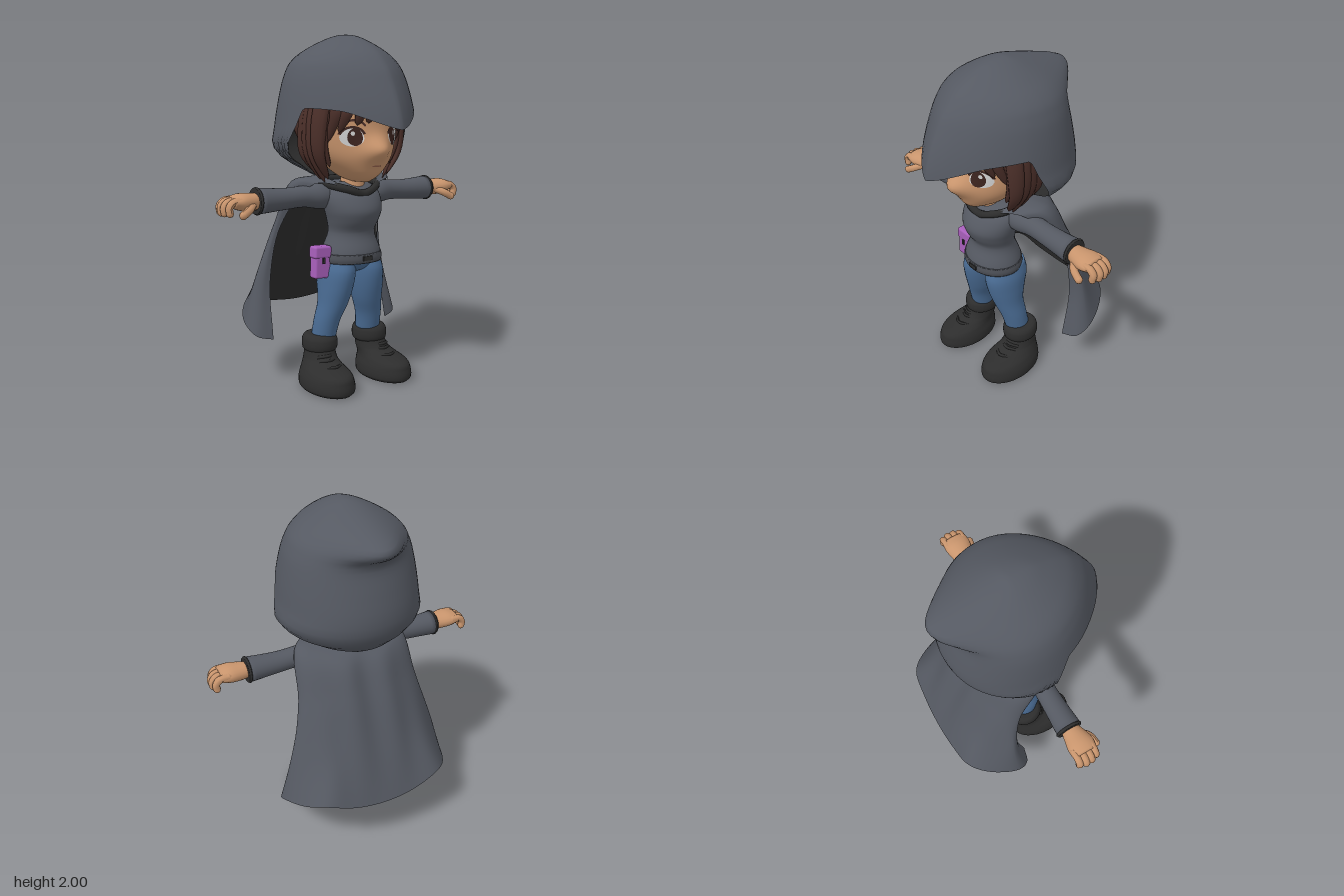
import * as THREE from 'three';
import { mergeGeometries } from 'three/addons/utils/BufferGeometryUtils.js';
import { RoundedBoxGeometry } from 'three/addons/geometries/RoundedBoxGeometry.js';

const mat = (name, color) => {
  const m = new THREE.MeshStandardMaterial({ color });
  m.name = name;
  return m;
};

// Smooth interpolation through rows of [key, value, value...]
function spline(rows) {
  const slope = (i, c) => {
    const a = rows[Math.max(i - 1, 0)], b = rows[Math.min(i + 1, rows.length - 1)];
    return (b[c] - a[c]) / (b[0] - a[0]);
  };
  return k => {
    let i = 0;
    while (i < rows.length - 2 && k > rows[i + 1][0]) i++;
    const a = rows[i], b = rows[i + 1], h = b[0] - a[0];
    const t = Math.min(Math.max((k - a[0]) / h, 0), 1), s = t * t * (3 - 2 * t);
    return a.slice(1).map((v, n) => v + (b[n + 1] - v) * s +
      h * (t * (1 - t) * (1 - t) * slope(i, n + 1) - t * t * (1 - t) * slope(i + 1, n + 1)));
  };
}

// Surface over a grid of points f(i, j); closed joins the last column to the first
function grid(nu, nv, f, closed) {
  const pos = [], uv = [], index = [], cols = closed ? nu : nu + 1;
  for (let j = 0; j <= nv; j++) for (let i = 0; i < cols; i++) { pos.push(...f(i, j)); uv.push(i / nu, j / nv); }
  for (let j = 0; j < nv; j++) for (let i = 0; i < nu; i++) {
    const a = j * cols + i, b = j * cols + (i + 1) % cols;
    index.push(a, b, b + cols, a, b + cols, a + cols);
  }
  const g = new THREE.BufferGeometry();
  g.setAttribute('position', new THREE.Float32BufferAttribute(pos, 3));
  g.setAttribute('uv', new THREE.Float32BufferAttribute(uv, 2));
  g.setIndex(index);
  g.computeVertexNormals();
  return g;
}

// Oval rings [y, centreX, halfWidth, frontZ, backZ], closed at both ends
function loft(rings, n = 28, sub = 5) {
  const at = spline(rings), steps = (rings.length - 1) * sub;
  return grid(n, steps + 2, (i, j) => {
    const s = Math.min(Math.max(j - 1, 0), steps), r = Math.min(Math.floor(s / sub), rings.length - 2);
    const y = rings[r][0] + (rings[r + 1][0] - rings[r][0]) * (s / sub - r);
    const [cx, w, f, b] = at(y), k = j === 0 || j === steps + 2 ? 0 : 1, a = i / n * Math.PI * 2;
    return [cx + k * w * Math.sin(a), y, (f + b) / 2 + k * (f - b) / 2 * Math.cos(a)];
  }, true);
}

function flip(g) {
  const ix = g.index.array;
  for (let i = 0; i < ix.length; i += 3) [ix[i], ix[i + 1]] = [ix[i + 1], ix[i]];
  g.computeVertexNormals();
  return g;
}
const mirror = g => flip(g.clone().scale(-1, 1, 1));

// Inner copy of a cloth surface, set back along its normals
function liningOf(g, depth) {
  const c = g.clone(), p = c.attributes.position, n = c.attributes.normal;
  for (let i = 0; i < p.count; i++)
    p.setXYZ(i, p.getX(i) - depth * n.getX(i), p.getY(i) - depth * n.getY(i), p.getZ(i) - depth * n.getZ(i));
  return flip(c);
}

const curve = (pts, closed = false) => new THREE.CatmullRomCurve3(pts.map(p => new THREE.Vector3(...p)), closed);
const tube = (pts, r, closed = false) => new THREE.TubeGeometry(curve(pts, closed), closed ? 64 : 12, r, 8, closed);
const finger = (pts, r) => mergeGeometries([tube(pts, r),
  ...[pts[0], pts[pts.length - 1]].map(p => new THREE.SphereGeometry(r, 8, 6).translate(...p))]);

// Flat tapering lock of hair lying around the head
function strand(pts, w, t) {
  const c = curve(pts);
  return grid(10, 12, (i, j) => {
    const p = c.getPoint(j / 12), a = i / 10 * Math.PI * 2, f = Math.atan2(p.x, p.z);
    const k = Math.sqrt(1 - (j / 12) ** 2), o = k * t * Math.cos(a), s = -k * w * Math.sin(a);
    return [p.x + o * Math.sin(f) + s * Math.cos(f), p.y, p.z + o * Math.cos(f) - s * Math.sin(f)];
  }, true);
}

export function createModel() {
  const root = new THREE.Group();
  root.name = 'cloakedFigure';
  const cloth = mat('greyCloth', 0x555962), dark = mat('blackLeather', 0x2d2d2d), skin = mat('skin', 0xc9956d),
    hair = mat('brownHair', 0x4b2f29), denim = mat('blueDenim', 0x4a6c94), purple = mat('purple', 0xa85fbb),
    white = mat('eyeWhite', 0xd2d2d2), iris = mat('darkBrown', 0x3c241f), lip = mat('lip', 0x9c6650), band = mat('hemGrey', 0x4c4f56);
  const add = (name, g, m) => {
    const mesh = new THREE.Mesh(g, m);
    mesh.name = name;
    root.add(mesh);
  };
  const pair = (name, g, m) => { add(name + 'Left', g, m); add(name + 'Right', mirror(g), m); };

  // Hood: rows of [y, half width, front, back, peak at the back]
  const hoodAt = spline([[2, 0, 0, 0, 0], [1.99, .06, .1, .06, 0], [1.96, .13, .185, .16, .02], [1.92, .2, .265, .25, .07],
    [1.88, .26, .325, .29, .14], [1.83, .31, .375, .32, .11], [1.79, .33, .408, .335, .03], [1.74, .35, .437, .345, 0],
    [1.6, .38, .502, .375, 0], [1.48, .397, .535, .397, 0], [1.38, .41, .535, .39, 0], [1.3, .338, .535, .345, 0],
    [1.24, .22, .535, .28, 0], [1.15, .05, .535, .13, 0]].map(([y, ...v]) => [Math.sqrt(2 - y), ...v]));
  // Lower edge of the hood, from its back (-1) to the brim tip (1)
  const edgeAt = spline([[-1, 1.155], [-.3, 1.17], [-.12, 1.2], [-.03, 1.27], [.06, 1.35], [.2, 1.5], [.27, 1.58], [.34, 1.59],
    [.66, 1.575], [.8, 1.545], [1, 1.48]]);
  const half = [1, .99, .97, .94, .9, .82, .74, .66, .58, .5, .42, .34, .3, .27, .24, .2, .15, .1, .05, 0];
  for (let i = 1; i <= 16; i++) half.push(-i / 16);
  const around = [...half.map(t => [t, -1]), ...half.slice(1, -1).reverse().map(t => [t, 1])];
  const hood = grid(around.length, 32, (i, j) => {
    const [t, side] = around[i], s = Math.sqrt(2 - edgeAt(t)[0]) * j / 32;
    const [w, f, b, peak] = hoodAt(s), a = -t * Math.PI / 2;
    return t >= 0 ? [side * w * (1 - t * t) ** (.56 + .34 * s), 2 - s * s, f * t]
      : [side * w * Math.cos(a), 2 - s * s, -b * Math.sin(a) - peak * Math.sin(a) ** 5];
  }, true);
  add('hood', hood, cloth);
  add('hoodLining', liningOf(hood, .004), dark);

  // Cape: half rows from the centre of the back to the front edge
  const capeRows = [
    [[0, 1.19, -.15], [.07, 1.19, -.14], [.12, 1.2, -.1], [.16, 1.21, -.05], [.18, 1.215, 0], [.17, 1.205, .08], [.12, 1.165, .165]],
    [[0, 1.12, -.22], [.1, 1.13, -.22], [.2, 1.15, -.18], [.27, 1.17, -.12], [.31, 1.185, -.06], [.32, 1.185, 0], [.26, 1.175, .09]],
    [[0, .97, -.3], [.12, .97, -.3], [.22, .96, -.28], [.3, .95, -.23], [.355, .94, -.18], [.37, .93, -.14], [.35, .93, -.12]],
    [[0, .66, -.425], [.16, .66, -.42], [.28, .66, -.39], [.38, .65, -.32], [.45, .64, -.23], [.435, .61, -.19], [.395, .6, -.175]],
    [[0, .36, -.54], [.2, .38, -.53], [.36, .425, -.5], [.46, .39, -.4], [.53, .34, -.23], [.5, .285, -.15], [.41, .26, -.12]]];
  const rowCurves = capeRows.map(r => curve([...r.slice(1).reverse().map(([x, y, z]) => [-x, y, z]), ...r]));
  const columns = Array.from({ length: 61 }, (_, i) => new THREE.CatmullRomCurve3(rowCurves.map(c => c.getPoint(i / 60))));
  const cape = grid(60, 28, (i, j) => {
    const p = columns[i].getPoint(j / 28), fold = Math.sin(Math.PI * j / 28) * Math.sin(Math.PI * i / 60);
    return [p.x, p.y, p.z + .01 * fold * Math.cos(p.x * 28)];
  });
  add('cape', cape, cloth);
  add('capeLining', liningOf(cape, .01), dark);
  add('collar', tube([[0, 1.115, .19], [.08, 1.14, .185], [.155, 1.165, .1], [.12, 1.18, -.06], [0, 1.18, -.1],
    [-.12, 1.18, -.06], [-.155, 1.165, .1], [-.08, 1.14, .185]], .022, true), dark);

  // Sweater, hem and belt tag
  add('sweater', loft([[.73, 0, .185, .235, -.08], [.79, 0, .175, .23, -.075], [.89, 0, .142, .2, -.04], [.96, 0, .155, .235, -.045],
    [1.02, 0, .172, .25, -.055], [1.09, 0, .182, .22, -.07], [1.14, 0, .165, .175, -.07], [1.18, 0, .1, .13, -.04]], 36), cloth);
  add('sweaterHem', loft([[.722, 0, .184, .235, -.08], [.745, 0, .188, .24, -.084], [.775, 0, .182, .236, -.081]], 36), band);
  add('beltTag', new THREE.BoxGeometry(.06, .025, .008).translate(0, .752, .239), dark);
  pair('sleeve', loft([[.1, -1.09, .065, .1, -.04], [.2, -1.1, .072, .115, -.045], [.3, -1.105, .06, .1, -.025],
    [.42, -1.1, .06, .1, -.025], [.595, -1.1, .072, .112, -.036]]).rotateZ(-Math.PI / 2), cloth);
  pair('sleeveCuff', loft([[.585, -1.1, .07, .11, -.034], [.593, -1.1, .076, .116, -.04], [.604, -1.1, .07, .11, -.034]])
    .rotateZ(-Math.PI / 2), dark);

  // Hands: palm, four curled fingers and a thumb
  pair('palm', loft([[.58, -1.1, .042, .085, -.005], [.64, -1.1, .048, .11, -.018], [.7, -1.105, .046, .125, -.03],
    [.755, -1.108, .03, .118, -.027]], 20).rotateZ(-Math.PI / 2), skin);
  const fingers = [-.008, .027, .062, .097].map((z, i) => {
    const r = [0, .01, .008, -.005][i];
    return finger([[.715, 1.115, z], [.765 + r, 1.11, z], [.788 + r, 1.085, z], [.785 + r, 1.055, z]], .021);
  });
  pair('fingers', mergeGeometries(fingers), skin);
  pair('thumb', finger([[.64, 1.09, .085], [.68, 1.07, .125], [.725, 1.045, .138]], .022), skin);

  // Jeans
  pair('jeanLeg', loft([[.27, .16, .07, .1, -.05], [.38, .148, .075, .13, -.035], [.48, .122, .085, .165, -.03],
    [.58, .107, .095, .195, -.055], [.67, .098, .098, .208, -.08], [.74, .088, .088, .19, -.07]]), denim);
  add('jeanHips', loft([[.645, 0, .04, .09, .03], [.68, 0, .14, .17, -.05], [.74, 0, .178, .215, -.075]]), denim);

  // Boots with folded cuffs and laces
  pair('boot', loft([[0, .205, .12, .315, -.075], [.02, .205, .135, .335, -.085], [.07, .205, .132, .332, -.085],
    [.11, .203, .115, .31, -.08], [.135, .197, .1, .225, -.08], [.165, .188, .09, .15, -.08], [.24, .18, .082, .11, -.08]], 32), dark);
  pair('bootCuff', loft([[.195, .18, .078, .1, -.07], [.215, .18, .098, .125, -.09], [.265, .18, .1, .127, -.092],
    [.29, .18, .088, .112, -.08], [.298, .18, .07, .095, -.065]], 28, 4), dark);
  pair('laces', mergeGeometries([[.14, .205], [.165, .148], [.185, .13]].map(([y, z]) =>
    tube([[.14, y - .005, z - .03], [.195, y + .004, z + .002], [.25, y - .005, z - .03]], .009))), dark);

  // Head with a softly pointed nose and narrow jaw
  const headRings = [[1.185, 0, .04, .235, .06], [1.21, 0, .09, .272, 0], [1.25, 0, .145, .298, -.05], [1.32, 0, .212, .312, -.1],
    [1.4, 0, .252, .312, -.15], [1.5, 0, .268, .312, -.18], [1.6, 0, .26, .3, -.2], [1.72, 0, .2, .2, -.16], [1.78, 0, .1, .1, -.06]];
  const headAt = spline(headRings);
  const nose = (x, y) => .075 * Math.exp(-((x / .085) ** 2) - ((y - 1.365) / .065) ** 2);
  const faceZ = (x, y) => {
    const [, w, f, b] = headAt(y);
    return (f + b) / 2 + (f - b) / 2 * Math.sqrt(Math.max(0, 1 - (x / w) ** 2)) + nose(x, y);
  };
  const head = loft(headRings, 72, 6), hp = head.attributes.position;
  for (let i = 0; i < hp.count; i++) if (hp.getZ(i) > .15) hp.setZ(i, hp.getZ(i) + nose(hp.getX(i), hp.getY(i)));
  head.computeVertexNormals();
  add('head', head, skin);
  add('neck', new THREE.CylinderGeometry(.065, .075, .14, 20).translate(0, 1.17, .09), skin);

  // Eyes and mouth as thin plates that follow the face
  const plate = (g, cx, cy, rx, ry, lift) => {
    const p = g.attributes.position;
    for (let i = 0; i < p.count; i++) {
      const x = cx + p.getX(i) * rx, y = cy + p.getY(i) * ry;
      p.setXYZ(i, x, y, faceZ(x, y) + lift);
    }
    g.computeVertexNormals();
    return g;
  };
  const disc = () => new THREE.RingGeometry(.001, 1, 28, 4);
  pair('eyeWhite', plate(disc(), .138, 1.438, .056, .05, .003), white);
  pair('iris', plate(disc(), .126, 1.438, .036, .047, .005), iris);
  pair('eyeGlint', plate(disc(), .138, 1.457, .01, .012, .007), white);
  pair('upperLash', plate(new THREE.RingGeometry(.92, 1.16, 24, 2, .25, 2.6), .138, 1.438, .058, .051, .007), iris);
  pair('eyebrow', plate(new THREE.RingGeometry(.9, 1.05, 20, 2, .7, 1.8), .13, 1.45, .075, .08, .005), hair);
  add('mouth', plate(disc(), 0, 1.278, .03, .005, .004), lip);

  // Hair: cap, fringe, cheek locks and side locks
  add('hairCap', new THREE.SphereGeometry(1, 32, 20).scale(.29, .25, .28).translate(0, 1.53, -.01), hair);
  [[.03, .06, 1.51], [.09, .12, 1.5], [.15, .2, 1.46], [.2, .235, 1.4]].forEach(([x0, x1, y], i) =>
    pair('fringe' + (i + 1), strand([[x0, 1.66, faceZ(x0, 1.66)], [(x0 + x1) / 2, 1.58, faceZ(x0, 1.58) + .025],
      [x1, y, faceZ(x1, y) + .015]], .042, .022), hair));
  pair('cheekLock', strand([[.225, 1.62, .2], [.255, 1.5, .175], [.25, 1.38, .165], [.205, 1.27, .165]], .04, .022), hair);
  [[.17, 1.2, .14], [.12, 1.18, .11], [.07, 1.19, .07], [.02, 1.22, .03]].forEach(([z, y, z1], i) =>
    pair('sideLock' + (i + 1), strand([[.25, 1.64, z], [.28, 1.5, z], [.275, 1.34, z - .01], [.2, y, z1]], .05, .026), hair));

  // Belt pouch with flap and clasp
  const pouch = (name, w, h, d, y, z, m) =>
    add(name, new RoundedBoxGeometry(w, h, d, 2, Math.min(d / 3, .014)).rotateZ(-.04).translate(-.22, y, z), m);
  pouch('pouch', .105, .175, .065, .73, .09, purple);
  pouch('pouchFlap', .112, .07, .072, .792, .09, purple);
  pouch('pouchClasp', .018, .035, .009, .745, .126, dark);
  return root;
}
